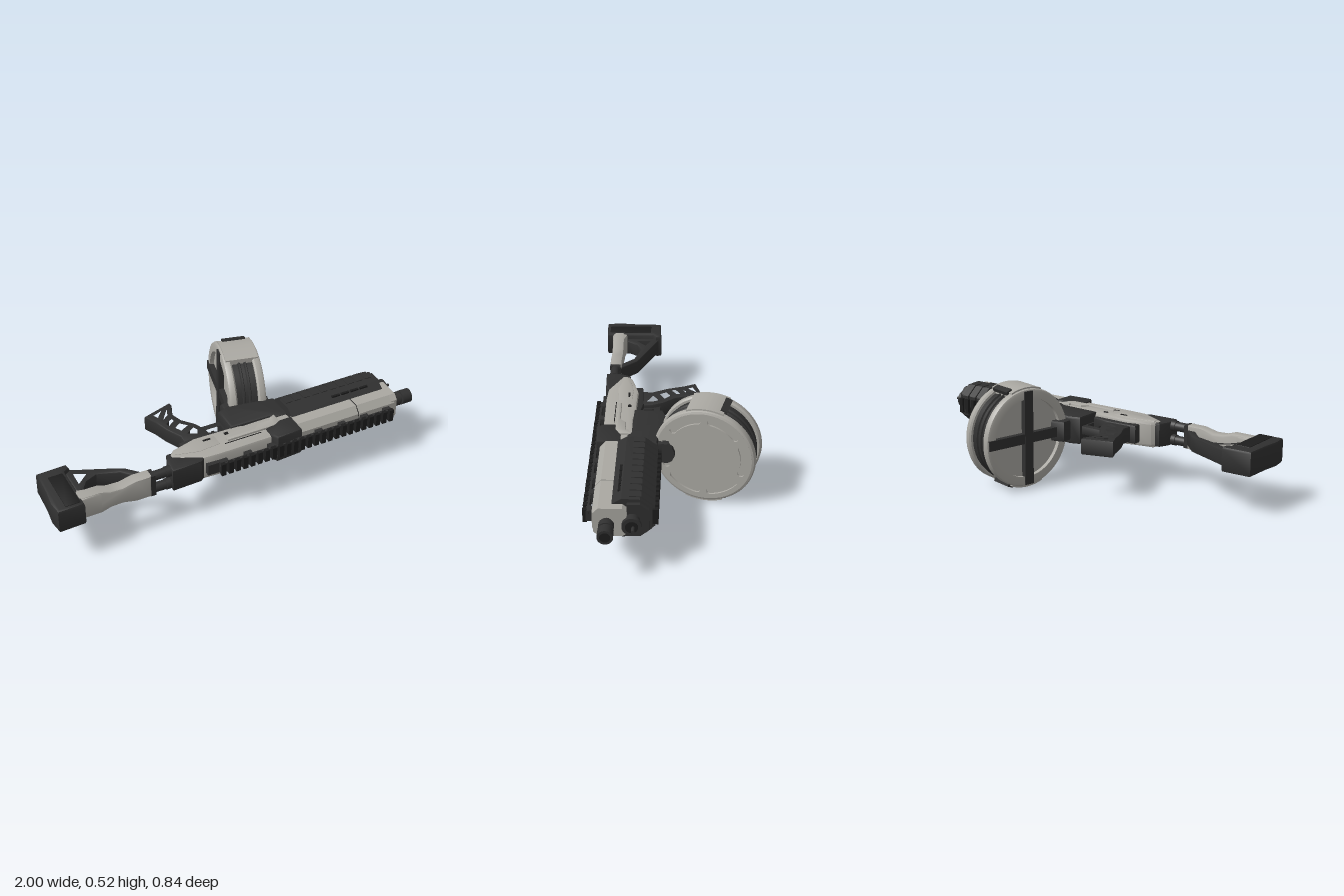
import * as THREE from 'three';
import { toCreasedNormals } from 'three/addons/utils/BufferGeometryUtils.js';

const MID = 0.265; // height of the symmetry plane: the model lies on its side
const material = (name, color) => {
  const m = new THREE.MeshStandardMaterial({ color });
  m.name = name;
  return m;
};

export function createModel() {
  const model = new THREE.Group();
  model.name = 'drumFedRifle';
  const light = material('warm grey', 0xaaa8a2);
  const dark = material('charcoal', 0x303030);
  const black = material('black', 0x1d1d1d);

  const add = (parent, name, geometry, mat, x = 0, y = 0, z = 0) => {
    const mesh = new THREE.Mesh(geometry, mat);
    mesh.name = name;
    mesh.position.set(x, y, z);
    parent.add(mesh);
    return mesh;
  };
  const box = (parent, name, mat, x0, x1, y0, y1, z0, z1) => add(parent, name,
    new THREE.BoxGeometry(x1 - x0, y1 - y0, z1 - z0), mat, (x0 + x1) / 2, (y0 + y1) / 2, (z0 + z1) / 2);
  // Cylinder along x
  const rod = (parent, name, mat, x0, x1, y, z, r, sides = 24) => add(parent, name,
    new THREE.CylinderGeometry(r, r, x1 - x0, sides).rotateZ(-Math.PI / 2), mat, (x0 + x1) / 2, y, z);
  // Side profile given as [x, z], with thickness along y about the symmetry plane
  const plate = (name, mat, pts, half, bevel = 0.01, holes = []) => {
    const flip = ([x, z]) => new THREE.Vector2(x, -z);
    const shape = new THREE.Shape(pts.map(flip));
    shape.holes = holes.map(h => new THREE.Path(h.map(flip)));
    const g = new THREE.ExtrudeGeometry(shape, {
      depth: 2 * (half - bevel), bevelSize: bevel, bevelThickness: bevel, bevelOffset: -bevel, bevelSegments: 2,
    }).rotateX(-Math.PI / 2);
    add(model, name, toCreasedNormals(g, 0.6), mat, 0, MID - half + bevel, 0);
  };
  // Cross-section (shape x = -z, shape y = y) swept along x
  const sweep = (parent, name, mat, shape, x0, x1, y = MID) => add(parent, name, toCreasedNormals(
    new THREE.ExtrudeGeometry(shape, { depth: x1 - x0, bevelEnabled: false, curveSegments: 32 })
      .rotateY(Math.PI / 2), 0.5), mat, x0, y, 0);
  // Outline mirrored about its long axis, from [position, halfWidth] pairs
  const mirrored = half => new THREE.Shape([
    ...half.map(([u, w]) => new THREE.Vector2(u, w)),
    ...[...half].reverse().map(([u, w]) => new THREE.Vector2(u, -w)),
  ]);
  const section = half => mirrored(half.map(([z, w]) => [-z, w]));

  // Receiver
  plate('receiver', light, [[-0.36, 0.265], [-0.33, 0.235], [-0.2, 0.2], [0.04, 0.205], [0.07, 0.215],
    [0.31, 0.21], [0.31, 0.36], [-0.13, 0.365], [-0.22, 0.36], [-0.36, 0.29]], 0.068, 0.015);
  plate('lowerReceiver', dark, [[0, 0.07], [0.06, 0.05], [0.31, 0.09], [0.31, 0.24], [0.24, 0.24],
    [0.22, 0.22], [0, 0.215]], 0.075, 0.014);
  plate('gripFrame', dark, [[-0.27, 0.18], [-0.1, 0.17], [0, 0.19], [0, 0.24], [-0.27, 0.24]], 0.05);
  plate('frontCollar', dark, [[0.15, 0.3], [0.2, 0.285], [0.235, 0.27], [0.31, 0.27], [0.31, 0.385],
    [0.17, 0.395], [0.15, 0.36]], 0.077);
  plate('rearCollar', dark, [[-0.395, 0.305], [-0.37, 0.25], [-0.33, 0.25], [-0.31, 0.3],
    [-0.2, 0.345], [-0.24, 0.375], [-0.395, 0.38]], 0.064);
  plate('rearCover', light, [[-0.34, 0.25], [-0.2, 0.225], [-0.1, 0.23], [-0.1, 0.3], [-0.22, 0.31],
    [-0.34, 0.28]], 0.072, 0.008);
  plate('sidePanel', light, [[-0.06, 0.28], [0.1, 0.28], [0.13, 0.25], [0.2, 0.25], [0.2, 0.235],
    [0.24, 0.22], [0.24, 0.28], [0.2, 0.3], [-0.06, 0.3]], 0.079, 0.006);
  for (const s of [-1, 1]) {
    const y = MID + s * 0.0725;
    box(model, 'receiverSlot', black, -0.17, -0.13, y - 0.002, y + 0.002, 0.242, 0.252);
    box(model, 'receiverSeam', black, -0.08, 0.12, MID + s * 0.067 - 0.003, MID + s * 0.067 + 0.003, 0.308, 0.312);
    rod(model, 'pin', black, -0.05, -0.03, MID + s * 0.064, 0.24, 0.01);
  }

  // Handguard: faceted core with ribs below
  sweep(model, 'handguard', dark, section([[0.095, 0.055], [0.15, 0.1], [0.235, 0.104], [0.285, 0.072]]), 0.31, 0.845);
  const rib = section([[0.083, 0.055], [0.145, 0.105], [0.2, 0.106], [0.2, 0.06]]);
  for (let i = 0; i < 10; i++) sweep(model, 'handguardRib', dark, rib, 0.32 + i * 0.052, 0.357 + i * 0.052);
  for (let i = 0; i < 13; i++) {
    const x = 0.335 + i * 0.04;
    box(model, 'lowerRailTooth', black, x, x + 0.022, MID - 0.04, MID + 0.04, 0.068, 0.1);
  }
  for (const s of [-1, 1]) for (let i = 0; i < 4; i++) {
    const x = 0.56 + i * 0.055;
    const y = MID + s * 0.098;
    box(model, 'handguardVent', black, x, x + 0.045, y - 0.004, y + 0.004, 0.243, 0.255);
  }

  // Light upper shroud and front cap
  const shroud = section([[0.268, 0.075], [0.34, 0.075], [0.37, 0.04]]);
  sweep(model, 'upperShroud', light, shroud, 0.31, 0.648);
  sweep(model, 'frontShroud', light, shroud, 0.654, 0.865);
  sweep(model, 'shroudSeam', black, section([[0.268, 0.072], [0.338, 0.072], [0.366, 0.04]]), 0.64, 0.66);
  sweep(model, 'frontCap', light, section([[0.21, 0.06], [0.23, 0.075], [0.34, 0.075], [0.365, 0.05]]), 0.845, 0.882);
  sweep(model, 'handguardCap', dark, section([[0.11, 0.055], [0.15, 0.085], [0.21, 0.085]]), 0.845, 0.865);

  // Top rail
  box(model, 'railBase', dark, -0.15, 0.835, MID - 0.028, MID + 0.028, 0.385, 0.4);
  for (let i = 0; i < 8; i++) {
    const x = -0.14 + i * 0.133;
    box(model, 'railPost', dark, x, x + 0.04, MID - 0.03, MID + 0.03, 0.36, 0.39);
  }
  for (let i = 0; i < 25; i++) {
    const x = -0.15 + i * 0.04;
    box(model, 'railTooth', black, x, x + 0.024, MID - 0.034, MID + 0.034, 0.396, 0.415);
  }
  box(model, 'railTail', dark, -0.21, -0.12, MID - 0.03, MID + 0.03, 0.35, 0.385);

  // Barrel, muzzle device and lower tube
  rod(model, 'barrel', dark, 0.86, 0.95, MID, 0.302, 0.026);
  rod(model, 'muzzleCollar', dark, 0.9, 0.935, MID, 0.302, 0.036);
  rod(model, 'muzzle', dark, 0.945, 0.999, MID, 0.302, 0.037);
  rod(model, 'bore', black, 0.99, 1, MID, 0.302, 0.025);
  rod(model, 'lowerTube', dark, 0.84, 0.905, MID, 0.187, 0.037);
  rod(model, 'lowerTubeFlange', dark, 0.9, 0.918, MID, 0.187, 0.046);
  rod(model, 'tubePlug', black, 0.91, 0.922, MID, 0.187, 0.03);
  rod(model, 'tubePin', dark, 0.915, 0.955, MID, 0.18, 0.008, 12);

  // Skeleton pistol grip
  plate('pistolGrip', dark, [[-0.33, -0.095], [-0.17, -0.145], [-0.165, -0.125], [-0.195, -0.05], [-0.175, 0.01],
    [-0.125, 0.07], [-0.1, 0.13], [-0.1, 0.2], [-0.24, 0.2], [-0.235, 0.13], [-0.275, 0.05], [-0.3, -0.03]],
  0.042, 0.007, [
    [[-0.295, -0.085], [-0.225, -0.107], [-0.275, -0.045]],
    [[-0.2, -0.11], [-0.215, -0.05], [-0.265, -0.02]],
    [[-0.212, -0.025], [-0.205, 0.005], [-0.255, 0.04], [-0.267, 0.005]],
    [[-0.195, 0.025], [-0.155, 0.068], [-0.215, 0.1], [-0.24, 0.055]],
    [[-0.145, 0.085], [-0.125, 0.13], [-0.13, 0.165], [-0.205, 0.125]],
  ]);
  // Trigger and guard
  plate('triggerGuard', dark, [[-0.12, 0.085], [0.02, 0.085], [0.02, 0.2], [-0.12, 0.2]], 0.022, 0.004,
    [[[-0.095, 0.115], [-0.005, 0.115], [-0.005, 0.19], [-0.085, 0.19]]]);
  plate('trigger', black, [[-0.065, 0.125], [-0.05, 0.125], [-0.05, 0.16], [-0.035, 0.195], [-0.065, 0.195]], 0.01, 0.002);

  // Twin stock rods
  for (const s of [-1, 1]) {
    rod(model, 'stockRod', dark, -0.53, -0.36, MID + s * 0.037, 0.34, 0.024);
    rod(model, 'stockRodRing', dark, -0.42, -0.39, MID + s * 0.037, 0.34, 0.028);
  }
  box(model, 'stockRodClamp', dark, -0.505, -0.48, MID - 0.06, MID + 0.06, 0.312, 0.368);

  // Stock: waisted body, strut and butt
  const waist = mirrored([[-0.87, 0.064], [-0.76, 0.064], [-0.71, 0.048], [-0.65, 0.046], [-0.58, 0.062], [-0.5, 0.062]]);
  add(model, 'stockBody', toCreasedNormals(new THREE.ExtrudeGeometry(waist, {
    depth: 0.043, bevelSize: 0.012, bevelThickness: 0.01, bevelOffset: -0.012, bevelSegments: 2,
  }), 0.6), light, 0, MID, 0.316);
  plate('stockRear', light, [[-0.87, 0.29], [-0.83, 0.3], [-0.76, 0.31], [-0.76, 0.37], [-0.87, 0.375]], 0.06);
  plate('stockStrut', dark, [[-0.85, 0.105], [-0.82, 0.12], [-0.62, 0.205], [-0.58, 0.225], [-0.5, 0.31],
    [-0.55, 0.31], [-0.61, 0.245], [-0.72, 0.21], [-0.78, 0.235], [-0.82, 0.29], [-0.85, 0.29]], 0.04, 0.008,
  [[[-0.825, 0.15], [-0.75, 0.185], [-0.825, 0.25]]]);
  plate('buttPad', dark, [[-0.985, 0.105], [-0.83, 0.1], [-0.825, 0.13], [-0.855, 0.15], [-0.855, 0.405],
    [-0.99, 0.41], [-1, 0.34], [-0.99, 0.25]], 0.065, 0.014);
  plate('buttPanel', black, [[-0.945, 0.16], [-0.87, 0.16], [-0.87, 0.39], [-0.945, 0.39]], 0.068, 0.003);

  // Drum magazine, tilted about y
  const drum = new THREE.Group();
  drum.name = 'drumMagazine';
  drum.position.set(0.23, 0.2625, -0.16);
  drum.rotation.y = -0.235;
  model.add(drum);
  const lathe = (name, mat, pts) => add(drum, name, toCreasedNormals(new THREE.LatheGeometry(
    pts.map(([r, x]) => new THREE.Vector2(r, x)), 72).rotateZ(-Math.PI / 2), 0.5), mat);
  lathe('frontRim', light, [[0.21, 0.055], [0.248, 0.055], [0.256, 0.063], [0.256, 0.083], [0.251, 0.093],
    [0.24, 0.0975], [0.24, 0.087], [0, 0.087]]);
  lathe('rearRim', light, [[0.205, -0.07], [0.205, -0.0975], [0.24, -0.0975], [0.251, -0.093], [0.256, -0.083],
    [0.256, -0.063], [0.248, -0.055], [0.21, -0.055]]);
  lathe('drumBand', dark, [[0.236, -0.058], [0.236, -0.024], [0.244, -0.02], [0.244, -0.012], [0.236, -0.008],
    [0.236, 0.008], [0.244, 0.012], [0.244, 0.02], [0.236, 0.024], [0.236, 0.058]]);
  rod(drum, 'rearDisc', light, -0.075, -0.02, 0, 0, 0.208, 64);

  // Front face with six curved recesses
  const face = new THREE.Shape();
  face.absarc(0, 0, 0.241, 0, Math.PI * 2);
  const h = 0.36, r = 0.2, w = 0.016;
  for (let i = 0; i < 6; i++) {
    const a = i * Math.PI / 3;
    const slot = new THREE.Path();
    slot.absarc(0, 0, r + w, a - h, a + h, false);
    slot.absarc(r * Math.cos(a + h), r * Math.sin(a + h), w, a + h, a + h + Math.PI, false);
    slot.absarc(0, 0, r - w, a + h, a - h, true);
    slot.absarc(r * Math.cos(a - h), r * Math.sin(a - h), w, a - h + Math.PI, a - h + 2 * Math.PI, false);
    face.holes.push(slot);
  }
  sweep(drum, 'frontFace', light, face, 0.084, 0.0975, 0);

  // Bridges joining the rims, and the clips beside them
  for (const s of [-1, 1]) {
    const bridge = new THREE.Shape();
    const a = s * Math.PI / 2;
    bridge.absarc(0, 0, 0.2625, a - 0.36, a + 0.36, false);
    bridge.absarc(0, 0, 0.235, a + 0.4, a - 0.4, true);
    sweep(drum, 'rimBridge', light, bridge, -0.085, 0.085, 0);
    const clip = box(drum, 'bandClip', dark, -0.06, 0.06, s * 0.245 - 0.01, s * 0.245 + 0.01, -0.105, -0.07);
    clip.rotation.x = -s * 0.37;
  }

  // Rear cross, feed tower and front latch
  box(drum, 'rearCrossUpright', dark, -0.104, -0.07, -0.245, 0.245, -0.026, 0.026);
  box(drum, 'rearCrossArm', dark, -0.103, -0.07, -0.026, 0.026, -0.245, 0.245);
  plate('feedTower', dark, [[0.05, 0], [0.12, -0.02], [0.29, 0.03], [0.3, 0.12], [0.05, 0.12]], 0.055);
  sweep(drum, 'frontLatch', dark, section([[0.27, 0.054], [0.18, 0.054], [0.155, 0.038], [0.145, 0.015]]), 0.09, 0.115, 0);

  return model;
}
